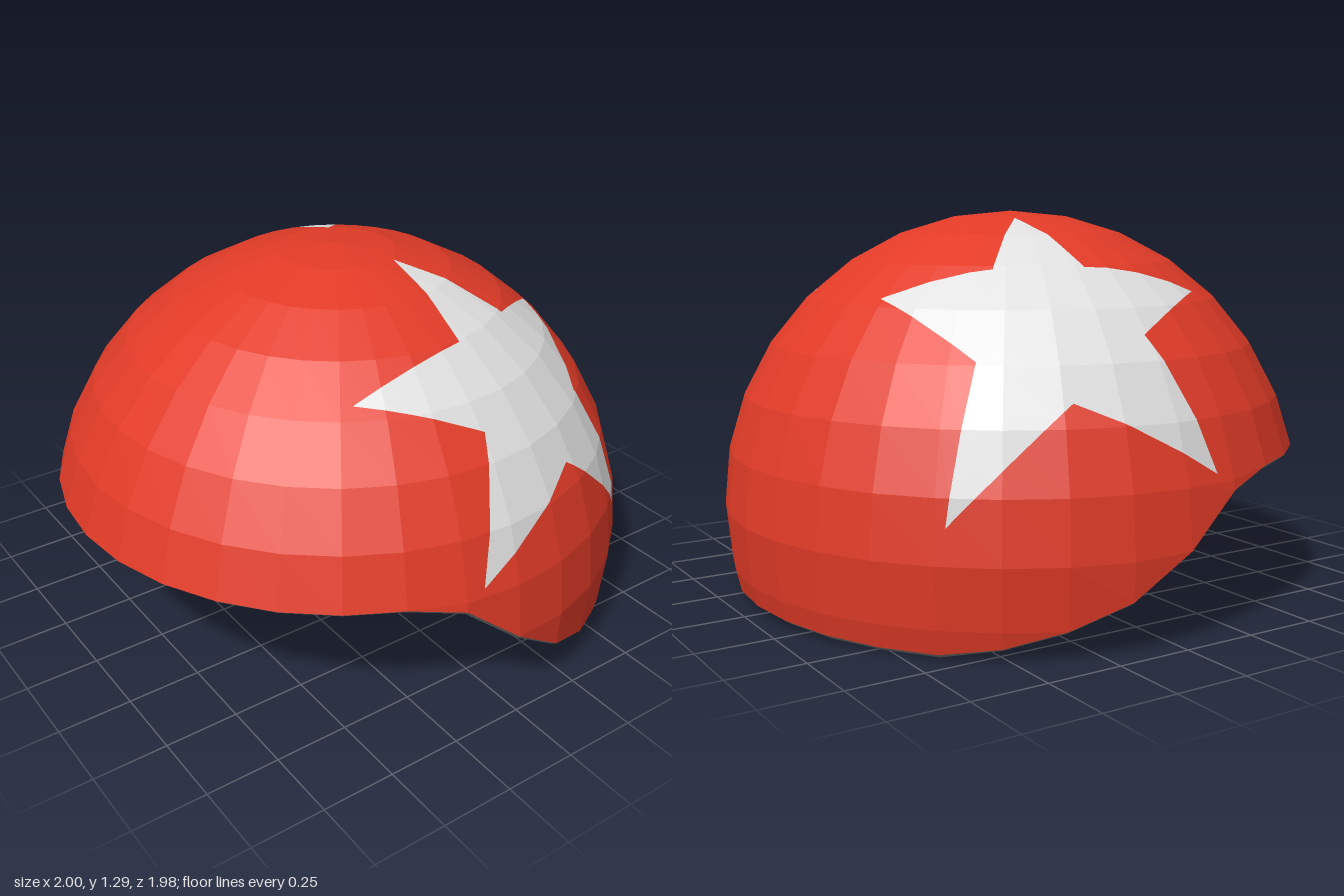
import * as THREE from 'three';

const SEG = 32, STEP = Math.PI / 16, ROWS = 10;
const CENTER = new THREE.Vector3(0, 0.29, 0.01);

// Height of the brim edge along z: high over the face, low round the neck
const EDGE = [[-1, 0.018], [-0.85, 0.006], [-0.65, 0], [-0.55, 0.02], [-0.38, 0.075], [-0.27, 0.11],
  [-0.17, 0.16], [0, 0.275], [0.1, 0.375], [0.2, 0.44], [0.38, 0.485], [1, 0.49]];
function edgeHeight(z) {
  if (z <= EDGE[0][0]) return EDGE[0][1];
  for (let i = 1; i < EDGE.length; i++) {
    const [z0, y0] = EDGE[i - 1], [z1, y1] = EDGE[i];
    if (z <= z1) return y0 + (y1 - y0) * (z - z0) / (z1 - z0);
  }
  return EDGE[EDGE.length - 1][1];
}

// Point on a sphere of radius r about the helmet centre
function onSphere(r, theta, phi) {
  return new THREE.Vector3(Math.sin(theta) * Math.sin(phi), Math.cos(theta), Math.sin(theta) * Math.cos(phi))
    .multiplyScalar(r).add(CENTER);
}

// Polar angle at which a meridian meets the brim edge, raised by lift
function edgeAngle(r, phi, lift) {
  let lo = 0.5, hi = 2.2;
  for (let i = 0; i < 40; i++) {
    const mid = (lo + hi) / 2, p = onSphere(r, mid, phi);
    if (p.y > edgeHeight(p.z) + lift) lo = mid; else hi = mid;
  }
  return lo;
}

// Ring of points round the helmet, stopped at the brim edge
function ring(r, lift, theta = Infinity) {
  return Array.from({ length: SEG }, (_, i) => {
    const phi = i * STEP;
    return onSphere(r, Math.min(theta, edgeAngle(r, phi, lift)), phi);
  });
}

// Triangles between successive rings
function skin(rings) {
  const tris = [];
  for (let k = 0; k + 1 < rings.length; k++) {
    for (let i = 0; i < SEG; i++) {
      const j = (i + 1) % SEG;
      const a = rings[k][i], b = rings[k + 1][i], c = rings[k + 1][j], d = rings[k][j];
      for (const t of [[a, b, c], [a, c, d]]) {
        const area = t[1].clone().sub(t[0]).cross(t[2].clone().sub(t[0])).length();
        if (area > 1e-6) tris.push(t);
      }
    }
  }
  return tris;
}

// Cut a convex polygon by a plane through the helmet centre
function split(poly, normal) {
  const inside = [], outside = [];
  const dist = poly.map(p => p.clone().sub(CENTER).dot(normal));
  poly.forEach((p, i) => {
    const j = (i + 1) % poly.length;
    if (dist[i] >= 0) inside.push(p);
    if (dist[i] <= 0) outside.push(p);
    if (dist[i] * dist[j] < 0) {
      const cut = p.clone().lerp(poly[j], dist[i] / (dist[i] - dist[j]));
      inside.push(cut);
      outside.push(cut);
    }
  });
  return [inside, outside];
}

// Star corners on the left side, alternating tips and notches
const STAR = [[0.575, 1.03, 0.35], [0.555, 1.12, -0.07], [0.185, 1.27, -0.09], [0.45, 1.12, -0.34],
  [0.25, 1.03, -0.63], [0.64, 0.86, -0.515], [0.725, 0.4, -0.67], [0.825, 0.74, -0.3],
  [0.96, 0.51, 0.135], [0.77, 0.92, 0]];

// Each star is ten wedges, each bounded by three planes
function starWedges(side) {
  const pts = STAR.map(([x, y, z]) => new THREE.Vector3(x * side, y, z).sub(CENTER).normalize());
  const mid = pts.reduce((s, p) => s.add(p), new THREE.Vector3()).normalize();
  return pts.map((p, i) => {
    const t = [mid, p, pts[(i + 1) % pts.length]];
    return t.map((a, k) => {
      const n = a.clone().cross(t[(k + 1) % 3]).normalize();
      return n.dot(t[(k + 2) % 3]) < 0 ? n.negate() : n;
    });
  });
}

// Separate the polygons lying in a star from the rest
function cutStar(polys, side) {
  const star = [];
  let rest = polys;
  for (const wedge of starWedges(side)) {
    const next = [];
    for (const poly of rest) {
      let piece = poly;
      const off = [];
      for (const normal of wedge) {
        const [inside, outside] = split(piece, normal);
        if (outside.length > 2) off.push(outside);
        piece = inside;
        if (piece.length < 3) break;
      }
      if (piece.length > 2) {
        star.push(piece);
        next.push(...off);
      } else next.push(poly);
    }
    rest = next;
  }
  return { star, rest };
}

// Faceted mesh from convex polygons
function facets(name, polys, material) {
  const pos = [];
  for (const p of polys) {
    for (let i = 1; i + 1 < p.length; i++) {
      for (const v of [p[0], p[i], p[i + 1]]) pos.push(v.x, v.y, v.z);
    }
  }
  const geo = new THREE.BufferGeometry();
  geo.setAttribute('position', new THREE.Float32BufferAttribute(pos, 3));
  geo.computeVertexNormals();
  const mesh = new THREE.Mesh(geo, material);
  mesh.name = name;
  return mesh;
}

function material(name, color) {
  const m = new THREE.MeshStandardMaterial({ color });
  m.name = name;
  return m;
}

export function createModel() {
  const red = material('red', 0xe23b27);
  const white = material('white', 0xe0e0e0);
  const grey = material('grey', 0x808080);
  const group = new THREE.Group();
  group.name = 'helmet';

  // Outer dome and the two stars let into it
  const outer = [];
  for (let k = 0; k <= ROWS; k++) outer.push(ring(1, 0.015, k * STEP));
  const left = cutStar(skin(outer), 1);
  const right = cutStar(left.rest, -1);
  group.add(facets('shell', right.rest, red));
  group.add(facets('leftStar', left.star, white));
  group.add(facets('rightStar', right.star, white));

  // Rounded edging from the outer shell to the lining
  const rim = [ring(1, 0.015), ring(0.98, 0), ring(0.948, 0), ring(0.93, 0.015)];
  group.add(facets('rim', skin(rim), grey));

  // Lining, facing inward
  const inner = [];
  for (let k = ROWS; k >= 0; k--) inner.push(ring(0.93, 0.015, k * STEP));
  group.add(facets('lining', skin(inner), white));

  return group;
}
